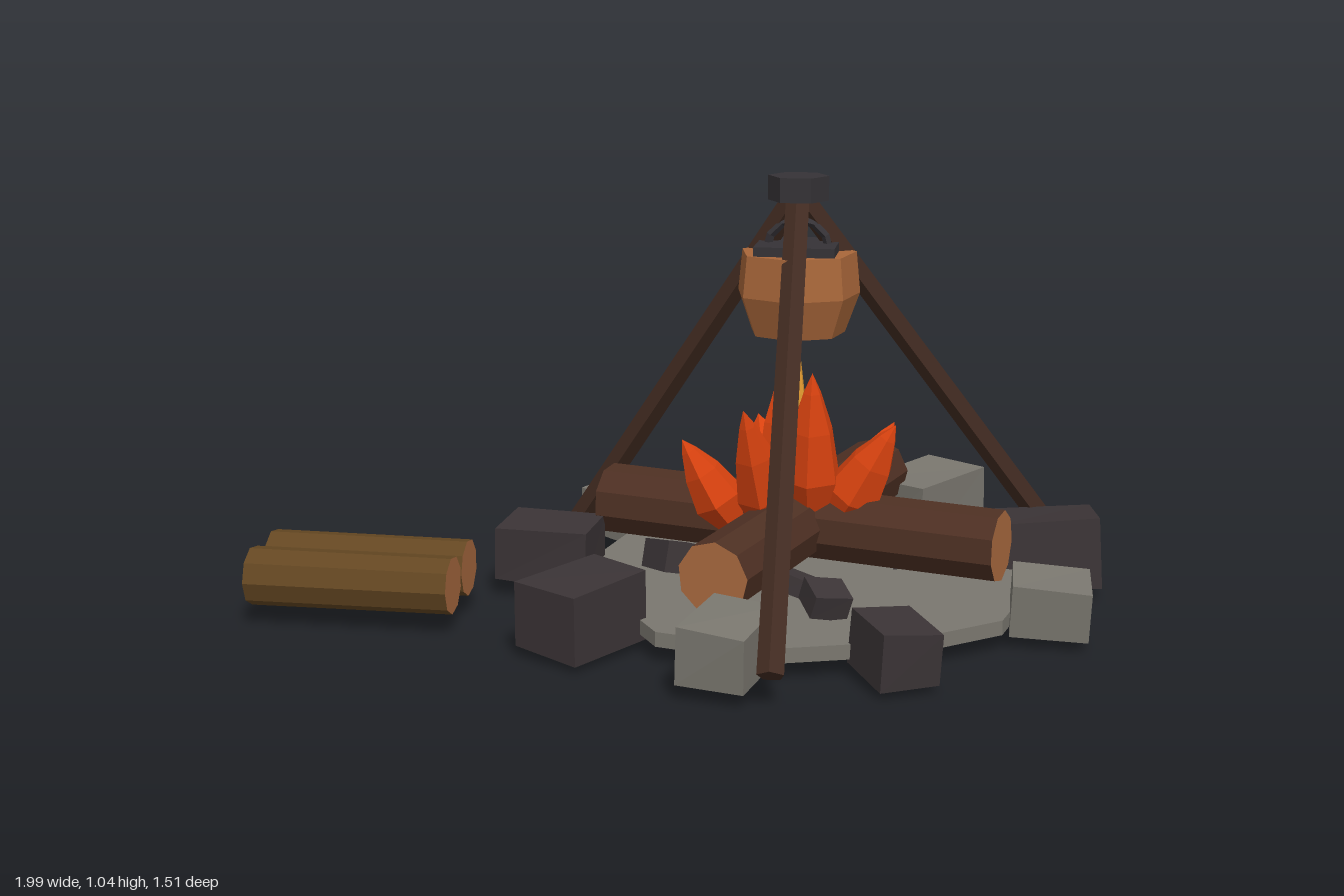
import * as THREE from 'three';

const mat = (name, color) => {
  const m = new THREE.MeshStandardMaterial({ color, flatShading: true });
  m.name = name;
  return m;
};
const M = {
  bark: mat('dark bark', 0x4e3023),
  pole: mat('pole wood', 0x432c22),
  spareBark: mat('olive bark', 0x644722),
  cutWood: mat('cut wood', 0xa9693f),
  copper: mat('copper', 0xa9673a),
  iron: mat('iron', 0x353236),
  darkStone: mat('dark stone', 0x3b3436),
  lightStone: mat('light stone', 0x7a776f),
  flame: mat('orange flame', 0xd8420f),
  core: mat('yellow flame', 0xe09a30),
};
const V = (a) => new THREE.Vector3(...a);

function add(parent, name, geometry, material, pos = [0, 0, 0]) {
  const mesh = new THREE.Mesh(geometry, material);
  mesh.name = name;
  mesh.position.set(...pos);
  parent.add(mesh);
  return mesh;
}

// Places a y-aligned geometry of the right length between two points
function span(parent, name, a, b, makeGeometry, material) {
  const from = V(a), dir = V(b).sub(from), length = dir.length();
  const mesh = add(parent, name, makeGeometry(length), material);
  mesh.position.copy(from).addScaledVector(dir, 0.5);
  mesh.quaternion.setFromUnitVectors(new THREE.Vector3(0, 1, 0), dir.normalize());
  return mesh;
}

function log(parent, name, a, b, r, bark) {
  span(parent, name, a, b, (l) => new THREE.CylinderGeometry(r * 0.97, r, l, 9),
    [bark, M.cutWood, M.cutWood]);
}

// Block with slightly uneven corners
function stone(parent, name, pos, size, turn, tilt, material, seed) {
  const g = new THREE.BoxGeometry(...size);
  const p = g.attributes.position;
  for (let i = 0; i < p.count; i++) {
    const corner = (p.getX(i) > 0 ? 1 : 0) + (p.getY(i) > 0 ? 2 : 0) + (p.getZ(i) > 0 ? 4 : 0);
    const k = (axis) => 1 + 0.06 * Math.sin(seed * 7.3 + corner * 2.9 + axis * 4.1);
    p.setXYZ(i, p.getX(i) * k(0), p.getY(i) * k(1), p.getZ(i) * k(2));
  }
  g.computeVertexNormals();
  add(parent, name, g, material, pos).rotation.set(tilt, turn, -tilt * 0.7, 'YXZ');
}

// Spindle that swells near its base and ends in a point
function flame(parent, name, base, tip, r, sides, material) {
  span(parent, name, base, tip, (l) => new THREE.LatheGeometry(
    [[0, -0.5], [0.55, -0.42], [1, -0.15], [0.72, 0.15], [0.3, 0.38], [0, 0.5]]
      .map(([x, y]) => new THREE.Vector2(x * r, y * l)), sides), material);
}

export function createModel() {
  const root = new THREE.Group();
  root.name = 'campfire';
  const cx = 0.25, cz = -0.01;

  // Ash bed: thin uneven polygon
  const radii = [0.55, 0.53, 0.56, 0.57, 0.53, 0.56, 0.54, 0.5, 0.56, 0.55, 0.53, 0.56];
  const outline = radii.map((r, i) => {
    const t = (i / radii.length) * Math.PI * 2;
    return new THREE.Vector2(0.275 + r * Math.cos(t), r * Math.sin(t));
  });
  const bed = new THREE.ExtrudeGeometry(new THREE.Shape(outline), { depth: 0.035, bevelEnabled: false });
  bed.rotateX(-Math.PI / 2);
  add(root, 'ashBed', bed, M.lightStone, [0, 0.045, 0]);

  // Ring of stones: x, y, z, width, height, depth, turn, tilt, dark?
  const stones = new THREE.Group();
  stones.name = 'stoneRing';
  root.add(stones);
  [
    [0.165, 0.11, -0.62, 0.2, 0.16, 0.26, -0.12, 0.04, 1],
    [0.54, 0.11, -0.555, 0.19, 0.18, 0.26, -0.65, 0.05, 0],
    [0.86, 0.108, -0.215, 0.25, 0.17, 0.19, 0.12, -0.08, 1],
    [0.865, 0.098, 0.185, 0.18, 0.12, 0.16, 0.05, 0.08, 0],
    [0.53, 0.09, 0.53, 0.14, 0.125, 0.17, 0.52, 0.06, 1],
    [0.175, 0.11, 0.62, 0.155, 0.13, 0.21, -0.24, 0.06, 0],
    [-0.18, 0.11, 0.44, 0.18, 0.16, 0.24, -0.6, 0.04, 1],
    [-0.35, 0.115, 0.01, 0.23, 0.14, 0.165, -0.12, 0.04, 1],
    [-0.235, 0.105, -0.385, 0.2, 0.12, 0.14, -0.58, 0.05, 0],
  ].forEach(([x, y, z, w, h, d, turn, tilt, dark], i) =>
    stone(stones, 'stone', [x, y, z], [w, h, d], turn, tilt, dark ? M.darkStone : M.lightStone, i + 1));

  // Charcoal lumps on the ash
  [[0.36, 0.12, 0.31, 0.09], [0.28, 0.12, 0.21, 0.07], [-0.03, 0.13, 0.08, 0.11],
    [0.535, 0.13, -0.02, 0.085], [0.1, 0.12, -0.2, 0.08]].forEach(([x, y, z, s], i) =>
    stone(root, 'charcoal', [x, y, z], [s, s * 0.65, s], 0.4 + i * 0.9, 0.25, M.darkStone, i + 20));

  // Crossed burning logs and the spare pair
  log(root, 'fireLog', [-0.23, 0.212, -0.125], [0.75, 0.214, 0.145], 0.088, M.bark);
  log(root, 'fireLog', [0.41, 0.214, -0.495], [0.125, 0.212, 0.49], 0.088, M.bark);
  for (const z of [0.205, 0.345]) log(root, 'spareLog', [-1, 0.117, z], [-0.51, 0.117, z], 0.071, M.spareBark);

  // Flames leaning out around a bright core
  const fire = new THREE.Group();
  fire.name = 'fire';
  root.add(fire);
  [
    [[0.12, 0.19, 0.04], [-0.015, 0.42, 0.07], 0.065],
    [[0.2, 0.2, -0.09], [0.13, 0.42, -0.23], 0.075],
    [[0.35, 0.2, -0.05], [0.48, 0.44, -0.11], 0.065],
    [[0.34, 0.2, 0.03], [0.495, 0.475, 0.07], 0.075],
    [[0.21, 0.2, 0.1], [0.155, 0.535, 0.23], 0.065],
    [[0.29, 0.2, 0.04], [0.3, 0.6, 0.1], 0.075],
    [[0.23, 0.2, -0.03], [0.21, 0.575, -0.075], 0.075],
  ].forEach(([base, tip, r]) => flame(fire, 'flame', base, tip, r, 6, M.flame));
  flame(fire, 'flameCore', [cx, 0.24, 0], [cx, 0.685, 0], 0.032, 6, M.core);

  // Tripod
  for (const foot of [[0.285, 0.08, 0.72], [-0.365, 0.08, -0.345], [0.89, 0.08, -0.375]])
    span(root, 'tripodLeg', foot, [cx, 1.01, cz], (l) => new THREE.CylinderGeometry(0.029, 0.031, l, 5), M.pole);
  add(root, 'tripodCap', new THREE.CylinderGeometry(0.072, 0.072, 0.058, 6), M.iron, [cx, 1.02, cz])
    .rotation.y = Math.PI / 6;

  // Hanging pot with rim, handle and hook
  const pot = new THREE.Group();
  pot.name = 'pot';
  pot.position.set(cx, 0, cz);
  root.add(pot);
  const profile = [[0, 0.675], [0.115, 0.675], [0.15, 0.77], [0.14, 0.868], [0, 0.868]]
    .map(([x, y]) => new THREE.Vector2(x, y));
  add(pot, 'potBody', new THREE.LatheGeometry(profile, 7), M.copper);
  add(pot, 'potLid', new THREE.BoxGeometry(0.19, 0.026, 0.18), M.iron, [0, 0.877, 0]);
  add(pot, 'potHandle', new THREE.TorusGeometry(0.075, 0.01, 4, 6, Math.PI), M.iron, [0, 0.87, 0]);
  add(pot, 'hook', new THREE.CylinderGeometry(0.01, 0.01, 0.08, 5), M.iron, [0, 0.965, 0]);

  return root;
}
